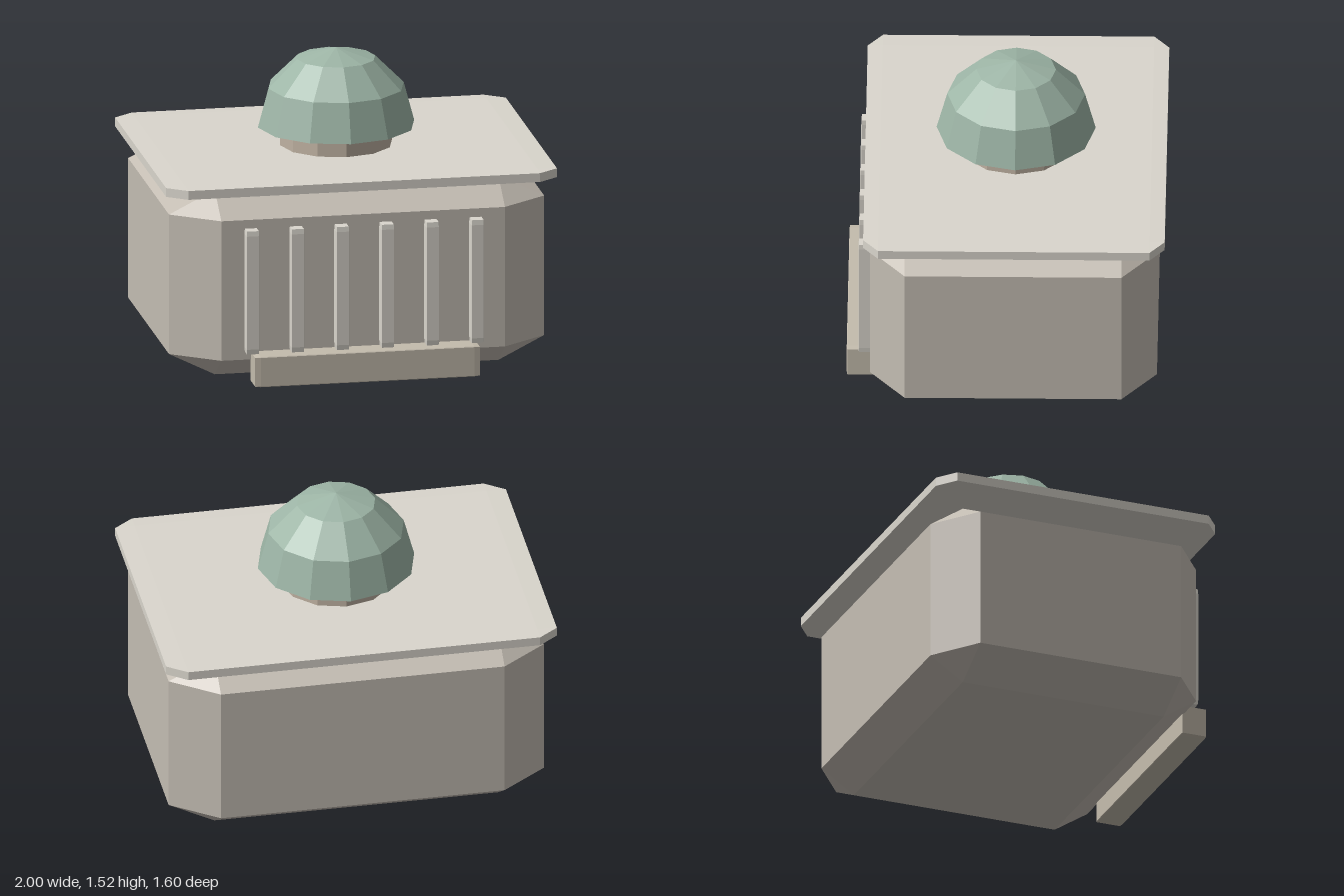
import * as THREE from 'three';
import { ConvexGeometry } from 'three/addons/geometries/ConvexGeometry.js';

const CENTRE_Z = -0.045;

const paint = (color) => new THREE.MeshStandardMaterial({ color, flatShading: true });
const bodyPaint = paint(0xc4bdb3);
const trimPaint = paint(0xdad6cd);
const stepPaint = paint(0xc4bcad);
const neckPaint = paint(0xbfb2a2);
const domePaint = paint(0x9db5a6);

// Box with chamfered edges; the chamfer is a fraction of each dimension
function bevelBox(name, material, min, max, ratio) {
  const size = max.map((v, i) => v - min[i]);
  const points = [];
  for (const sx of [-1, 1]) for (const sy of [-1, 1]) for (const sz of [-1, 1]) {
    for (let axis = 0; axis < 3; axis++) {
      const p = [sx, sy, sz].map((s, i) => s * size[i] * (i === axis ? 0.5 : 0.5 - ratio));
      points.push(new THREE.Vector3(...p));
    }
  }
  const mesh = new THREE.Mesh(new ConvexGeometry(points), material);
  mesh.name = name;
  mesh.position.set(...min.map((v, i) => v + size[i] / 2));
  return mesh;
}

export function createModel() {
  const model = new THREE.Group();
  model.name = 'domedBox';

  // Main body and overhanging lid
  model.add(bevelBox('body', bodyPaint, [-0.96, 0.003, -0.762], [0.96, 0.965, 0.68], 0.122));
  model.add(bevelBox('lid', trimPaint, [-1, 0.975, -0.803], [1, 1.026, 0.713], 0.05));

  // Front step and row of upright slats
  model.add(bevelBox('frontStep', stepPaint, [-0.575, 0.005, 0.665], [0.575, 0.162, 0.8], 0.025));
  const slats = new THREE.Group();
  slats.name = 'frontSlats';
  for (let i = 0; i < 6; i++) {
    const x = (i - 2.5) * 0.23;
    slats.add(bevelBox('slat', trimPaint, [x - 0.033, 0.162, 0.66], [x + 0.033, 0.803, 0.741], 0.04));
  }
  model.add(slats);

  // Neck under the dome
  const neck = new THREE.Mesh(new THREE.CylinderGeometry(0.286, 0.286, 0.17, 12), neckPaint);
  neck.name = 'neck';
  neck.position.set(0, 1.045, CENTRE_Z);
  model.add(neck);

  // Faceted half-round dome with a closed underside
  const profile = [new THREE.Vector2(0, 0)];
  for (let i = 0; i <= 3; i++) {
    const a = (i * Math.PI) / 6;
    profile.push(new THREE.Vector2(i === 3 ? 0 : 0.4 * Math.cos(a), 0.4 * Math.sin(a)));
  }
  const dome = new THREE.Mesh(new THREE.LatheGeometry(profile, 12), domePaint);
  dome.name = 'dome';
  dome.position.set(0, 1.124, CENTRE_Z);
  model.add(dome);

  return model;
}
